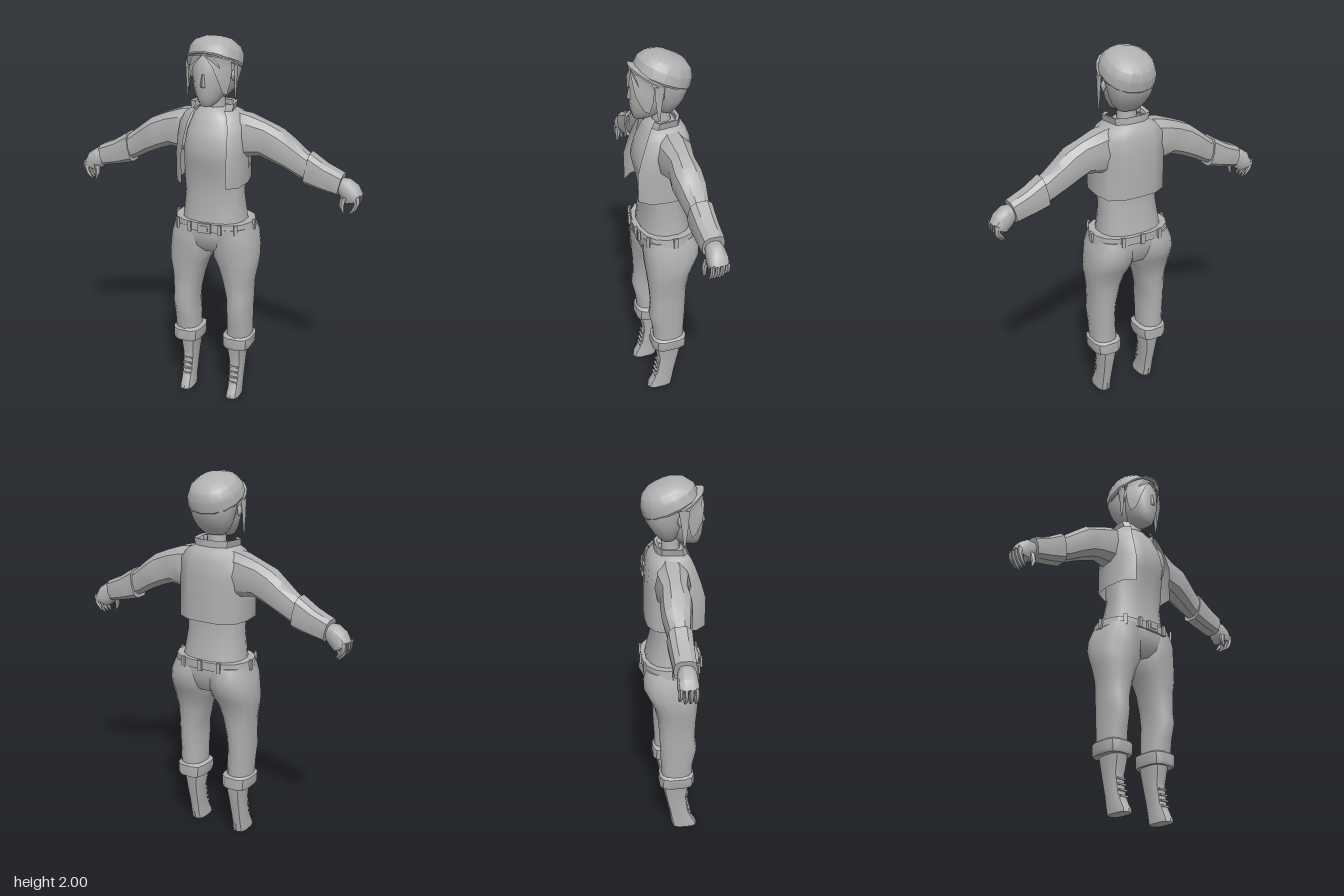
import * as THREE from 'three';
import { toCreasedNormals } from 'three/addons/utils/BufferGeometryUtils.js';

const grey = new THREE.MeshStandardMaterial({ color: 0xb0b0b0, side: THREE.DoubleSide });
grey.name = 'plain grey';

// Surface through a list of rings of [x, y, z] points; closed tubes get end caps
function loft(rings, { open = false, caps = true, crease = 0.75 } = {}) {
  const n = rings[0].length, pos = rings.flat(2), idx = [];
  for (let r = 0; r < rings.length - 1; r++)
    for (let i = 0; i < (open ? n - 1 : n); i++) {
      const a = r * n + i, b = r * n + (i + 1) % n;
      idx.push(a, b, b + n, a, b + n, a + n);
    }
  if (caps && !open)
    for (let i = 1; i < n - 1; i++) {
      const e = (rings.length - 1) * n;
      idx.push(0, i + 1, i, e, e + i, e + i + 1);
    }
  // Turn the faces outward when the enclosed volume comes out negative
  const mid = new THREE.Vector3(), p = (i) => new THREE.Vector3().fromArray(pos, i * 3);
  for (let i = 0; i < pos.length / 3; i++) mid.addScaledVector(p(i), 3 / pos.length);
  let vol = 0;
  for (let i = 0; i < idx.length; i += 3) {
    const [a, b, c] = [0, 1, 2].map((k) => p(idx[i + k]).sub(mid));
    vol += a.dot(b.cross(c));
  }
  if (vol < 0) idx.reverse();
  const g = new THREE.BufferGeometry();
  g.setAttribute('position', new THREE.Float32BufferAttribute(pos, 3));
  g.setIndex(idx);
  return toCreasedNormals(g, crease);
}

// Rounded-box curve: unit point number i of n
function unit(i, n, p) {
  const t = (i + 0.5) / n * Math.PI * 2, c = Math.cos(t), s = Math.sin(t);
  return [Math.sign(c) * Math.abs(c) ** (2 / p), Math.sign(s) * Math.abs(s) ** (2 / p)];
}

// Level ring from x0 to x1 and from zb (back) to zf (front)
const level = (y, x0, x1, zf, zb, n = 16, p = 2.5) => Array.from({ length: n }, (_, i) => {
  const [u, v] = unit(i, n, p);
  return [(x0 + x1) / 2 + u * (x1 - x0) / 2, y, (zf + zb) / 2 + v * (zf - zb) / 2];
});
const body = (rows, n, p) => rows.map(([y, rx, zf, zb]) => level(y, -rx, rx, zf, zb, n, p));

// Ring across a limb, given its upper and lower edge in x and y and its depth
const across = (s, [tx, ty, bx, by, zf, zb], n = 10, p = 2.4) => Array.from({ length: n }, (_, i) => {
  const [u, v] = unit(i, n, p), k = (u + 1) / 2;
  return [s * (bx + (tx - bx) * k), by + (ty - by) * k, (zf + zb) / 2 + v * (zf - zb) / 2];
});

export function createModel() {
  const model = new THREE.Group();
  const add = (name, geo, parent = model) => {
    const m = new THREE.Mesh(geo, grey);
    m.name = name;
    parent.add(m);
    return m;
  };
  const box = (name, w, h, d, x, y, z, ry = 0) => {
    const m = add(name, new THREE.BoxGeometry(w, h, d));
    m.position.set(x, y, z);
    m.rotation.y = ry;
    return m;
  };

  // Shirt, neck and hips
  add('shirt', loft(body([
    [1.01, 0.18, 0.125, -0.14], [1.06, 0.172, 0.12, -0.135], [1.18, 0.16, 0.107, -0.105],
    [1.28, 0.165, 0.118, -0.11], [1.36, 0.158, 0.135, -0.115], [1.43, 0.155, 0.152, -0.12],
    [1.52, 0.14, 0.128, -0.11], [1.6, 0.11, 0.092, -0.09], [1.64, 0.07, 0.06, -0.065]]), { crease: 1 }));
  add('neck', loft(body([[1.6, 0.062, 0.05, -0.06], [1.65, 0.052, 0.045, -0.05], [1.74, 0.05, 0.05, -0.05]], 10, 2)));
  add('hips', loft(body([[0.86, 0.1, 0.09, -0.12], [0.9, 0.2, 0.123, -0.14],
    [0.96, 0.222, 0.135, -0.155], [1.01, 0.21, 0.135, -0.15]]), { crease: 1 }));

  // Belt with buckle and loops
  const belt = [[0.992, 0.212, 0.14, -0.15], [0.992, 0.222, 0.148, -0.163],
    [1.036, 0.215, 0.146, -0.163], [1.036, 0.175, 0.125, -0.14]];
  add('belt', loft(body(belt), { caps: false, crease: 0.5 }));
  box('buckle', 0.07, 0.052, 0.014, 0, 1.014, 0.15);
  box('bucklePlate', 0.04, 0.03, 0.008, 0, 1.014, 0.158);
  for (const s of [-1, 1]) {
    box('beltLoop', 0.02, 0.056, 0.012, s * 0.085, 1.014, 0.15);
    box('beltLoop', 0.02, 0.056, 0.012, s * 0.165, 1.014, 0.122, s * 0.7);
    box('beltLoop', 0.012, 0.056, 0.022, s * 0.22, 1.014, -0.01);
    box('beltLoop', 0.02, 0.056, 0.012, s * 0.11, 1.014, -0.155, -s * 0.15);
  }
  box('beltLoop', 0.024, 0.056, 0.012, 0, 1.014, -0.164);

  // Open jacket: each level is front edge x, front edge z, side x, back z
  const jacketRing = ([y, fx, fz, sx, zb]) => {
    const half = [[fx, fz], [(fx + sx) / 2 + 0.02, fz * 0.68], [sx, 0],
      [sx * 0.9, zb * 0.7], [sx * 0.5, zb * 0.97]];
    return [...half.map(([x, z]) => [x, y, z]), [0, y, zb],
      ...half.reverse().map(([x, z]) => [-x, y, z])];
  };
  add('jacket', loft([[1.245, 0.122, 0.16, 0.185, -0.14], [1.4, 0.124, 0.162, 0.185, -0.138],
    [1.48, 0.12, 0.14, 0.185, -0.136], [1.56, 0.11, 0.112, 0.18, -0.128],
    [1.61, 0.095, 0.09, 0.145, -0.11], [1.63, 0.08, 0.075, 0.105, -0.085]].map(jacketRing),
  { open: true, crease: 1 }));
  add('collar', loft([[1.625, 0.08, 0.075, 0.105, -0.085], [1.665, 0.085, 0.062, 0.115, -0.082],
    [1.66, 0.07, 0.052, 0.095, -0.068]].map(jacketRing), { open: true }));

  for (const s of [-1, 1]) {
    // Sleeve, forearm cuff and hand
    add('sleeve', loft([
      [0.1, 1.625, 0.13, 1.36, 0.06, -0.09], [0.19, 1.61, 0.18, 1.385, 0.075, -0.108],
      [0.28, 1.578, 0.25, 1.395, 0.052, -0.09], [0.36, 1.545, 0.31, 1.375, 0.062, -0.1],
      [0.42, 1.5, 0.38, 1.345, 0.05, -0.1], [0.49, 1.445, 0.455, 1.305, 0.034, -0.085],
      [0.54, 1.41, 0.51, 1.285, 0.03, -0.08]].map((r) => across(s, r)), { crease: 0.6 }));
    add('forearmCuff', loft([
      [0.515, 1.442, 0.485, 1.275, 0.038, -0.092], [0.6, 1.388, 0.565, 1.255, 0.034, -0.088],
      [0.69, 1.348, 0.665, 1.235, 0.03, -0.085]].map((r) => across(s, r, 10, 3)), { crease: 0.5 }));
    add('hand', loft([
      [0.68, 1.325, 0.665, 1.25, 0.015, -0.065], [0.72, 1.325, 0.685, 1.215, 0.025, -0.072],
      [0.765, 1.295, 0.715, 1.19, 0.028, -0.078], [0.788, 1.25, 0.745, 1.205, 0.022, -0.075]]
      .map((r) => across(s, r))));
    for (let f = 0; f < 4; f++) {
      const z = 0.012 - f * 0.025, d = 0.012, drop = f === 3 ? 0.015 : 0;
      add('finger', loft([
        [0.787, 1.255, 0.752, 1.235, z + d, z - d], [0.788, 1.215, 0.758, 1.212, z + d, z - d],
        [0.772, 1.178 + drop, 0.75, 1.185 + drop, z + d, z - d],
        [0.742, 1.15 + drop, 0.735, 1.158 + drop, z + 0.006, z - 0.006]].map((r) => across(s, r, 6, 2))));
    }
    add('thumb', loft([
      [0.72, 1.24, 0.685, 1.235, 0.032, 0.0], [0.71, 1.195, 0.682, 1.195, 0.036, 0.01],
      [0.712, 1.158, 0.702, 1.158, 0.034, 0.018]].map((r) => across(s, r, 6, 2))));

    // Trouser leg: y, inner x, outer x, front z, back z
    const limb = (rows, n, p) => rows.map(([y, a, b, zf, zb]) => level(y, s * a, s * b, zf, zb, n, p));
    add('trouserLeg', loft(limb([
      [1.01, 0, 0.212, 0.135, -0.15], [0.95, 0, 0.234, 0.137, -0.164], [0.89, 0, 0.243, 0.133, -0.162],
      [0.835, 0.004, 0.248, 0.128, -0.135], [0.78, 0.035, 0.244, 0.123, -0.108],
      [0.7, 0.062, 0.229, 0.115, -0.09], [0.6, 0.085, 0.225, 0.11, -0.084], [0.53, 0.092, 0.223, 0.12, -0.082],
      [0.44, 0.088, 0.22, 0.1, -0.077], [0.33, 0.085, 0.218, 0.09, -0.075]], 14), { crease: 0.9 }));
    add('trouserCuff', loft(limb([[0.3, 0.09, 0.2, 0.085, -0.07], [0.298, 0.072, 0.222, 0.102, -0.088],
      [0.312, 0.068, 0.228, 0.106, -0.09], [0.362, 0.066, 0.23, 0.104, -0.088],
      [0.373, 0.085, 0.215, 0.09, -0.074]], 12, 3.2), { crease: 0.5 }));

    // Boot with laces
    add('boot', loft(limb([[0.32, 0.088, 0.192, 0.085, -0.072], [0.27, 0.092, 0.186, 0.08, -0.066],
      [0.2, 0.1, 0.18, 0.066, -0.052], [0.1, 0.104, 0.176, 0.08, -0.03], [0.05, 0.106, 0.176, 0.105, -0.022],
      [0.02, 0.103, 0.177, 0.122, -0.016], [0, 0.103, 0.177, 0.126, -0.012]], 10, 3), { crease: 0.6 }));
    for (let i = 0; i < 4; i++)
      box('bootLace', 0.05, 0.009, 0.012, s * 0.14, 0.085 + i * 0.03, 0.086 - i * 0.006);

    // Side lock and fringe of hair
    add('sideLock', loft([[1.87, 0.125, 0.138, 0.075, 0.02], [1.78, 0.126, 0.136, 0.068, 0.035],
      [1.69, 0.129, 0.134, 0.056, 0.046]].map(([y, a, b, zf, zb]) => level(y, s * a, s * b, zf, zb, 6, 2))));
    add('fringe', loft([
      [[0.004, 1.925, 0.158], [0.06, 1.92, 0.15], [0.12, 1.9, 0.09]],
      [[0.05, 1.87, 0.16], [0.084, 1.86, 0.138], [0.12, 1.85, 0.07]],
      [[0.075, 1.8, 0.15], [0.093, 1.79, 0.128], [0.112, 1.78, 0.075]],
      [[0.087, 1.735, 0.118], [0.093, 1.73, 0.112], [0.1, 1.72, 0.09]]]
      .map((r) => r.map(([x, y, z]) => [s * x, y, z])), { open: true }));
    const ear = add('ear', new THREE.SphereGeometry(0.022, 8, 6));
    ear.scale.set(0.5, 1.3, 0.8);
    ear.position.set(s * 0.113, 1.81, 0.035);
  }

  // Head, nose and back hair
  add('head', loft(body([[1.66, 0.024, 0.138, 0.07], [1.672, 0.042, 0.147, 0.03], [1.71, 0.068, 0.157, -0.03],
    [1.76, 0.086, 0.163, -0.07], [1.82, 0.095, 0.162, -0.1], [1.88, 0.1, 0.155, -0.11],
    [1.94, 0.09, 0.125, -0.1]], 16, 2.1), { crease: 1.2 }));
  add('nose', loft([level(1.765, -0.013, 0.013, 0.168, 0.14, 6, 2), level(1.775, -0.014, 0.014, 0.175, 0.14, 6, 2),
    level(1.83, -0.007, 0.007, 0.164, 0.14, 6, 2)], { crease: 1.2 }));
  add('backHair', loft(body([[1.69, 0.06, 0.02, -0.06], [1.725, 0.09, 0.045, -0.092], [1.77, 0.11, 0.062, -0.122],
    [1.83, 0.125, 0.08, -0.145], [1.9, 0.126, 0.09, -0.13]], 14, 2.2), { crease: 1 }));

  // Cap tilted back, with a curved brim
  const cap = new THREE.Group();
  cap.name = 'cap';
  cap.position.set(0, 1.87, 0);
  cap.rotation.x = -0.4;
  model.add(cap);
  add('capCrown', loft(body([[-0.012, 0.134, 0.14, -0.148], [0, 0.141, 0.147, -0.154], [0.05, 0.137, 0.144, -0.146],
    [0.088, 0.115, 0.118, -0.125], [0.112, 0.08, 0.075, -0.09], [0.12, 0.035, 0.03, -0.045]], 14, 2.2),
  { crease: 0.5 }), cap);
  const brim = (y, r, rz) => Array.from({ length: 11 }, (_, i) => {
    const t = Math.PI * (0.06 + 0.88 * i / 10);
    return [r * Math.cos(t), y - 0.02 * Math.cos(t) ** 2, rz * Math.sin(t)];
  });
  add('capBrim', loft([brim(0.014, 0.132, 0.135), brim(0.006, 0.143, 0.182),
    brim(-0.002, 0.142, 0.18), brim(0.002, 0.132, 0.135)], { open: true, crease: 0.5 }), cap);
  return model;
}
